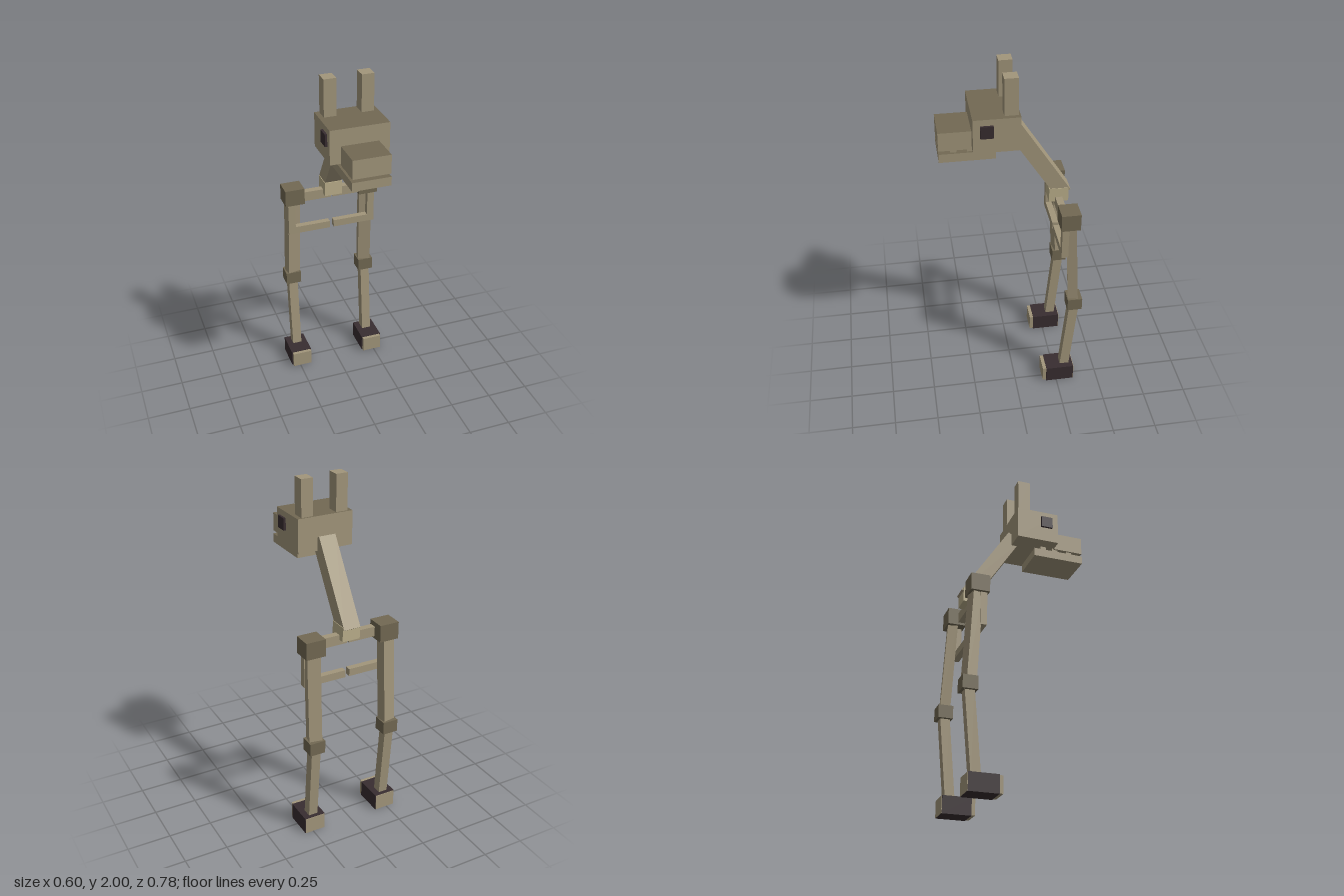
import * as THREE from 'three';

const paint = (name, color) => {
  const m = new THREE.MeshStandardMaterial({ color });
  m.name = name;
  return m;
};

export function createModel() {
  const tan = paint('tan', 0xa2967b);
  const brown = paint('dark tan', 0x726953);
  const pale = paint('pale tan', 0xbcb08c);
  const black = paint('near black', 0x382d30);
  const darkTop = [tan, tan, brown, tan, tan, tan];

  const model = new THREE.Group();
  model.name = 'walker';

  // Box given by its ranges along x, y and z
  const box = (parent, name, mat, [x0, x1], [y0, y1], [z0, z1]) => {
    const mesh = new THREE.Mesh(new THREE.BoxGeometry(x1 - x0, y1 - y0, z1 - z0), mat);
    mesh.position.set((x0 + x1) / 2, (y0 + y1) / 2, (z0 + z1) / 2);
    mesh.name = name;
    parent.add(mesh);
    return mesh;
  };

  // Beam from one point to another, twisted about its own length
  const beam = (parent, name, mat, from, to, width, depth, twist = 0) => {
    const a = new THREE.Vector3(...from), b = new THREE.Vector3(...to);
    const dir = b.clone().sub(a);
    const geo = new THREE.BoxGeometry(width, dir.length(), depth).rotateY(twist);
    const mesh = new THREE.Mesh(geo, mat);
    mesh.position.copy(a).add(b).multiplyScalar(0.5);
    mesh.quaternion.setFromUnitVectors(new THREE.Vector3(0, 1, 0), dir.normalize());
    mesh.name = name;
    parent.add(mesh);
    return mesh;
  };

  // Mirrored x range
  const mx = (s, a, b) => (s > 0 ? [a, b] : [-b, -a]);

  // Head
  const head = new THREE.Group();
  head.name = 'head';
  model.add(head);
  box(head, 'skull', darkTop, [-0.166, 0.166], [1.595, 1.79], [-0.04, 0.213]);
  box(head, 'snout', darkTop, [-0.105, 0.105], [1.588, 1.695], [0.213, 0.39]);
  box(head, 'jaw', darkTop, [-0.108, 0.108], [1.52, 1.57], [0.085, 0.39]);

  // Neck and the block it stands on
  beam(model, 'neck', tan, [0, 1.218, -0.303], [0, 1.657, -0.021], 0.1, 0.09);
  box(model, 'neckBase', pale, [-0.053, 0.053], [1.17, 1.255], [-0.33, -0.22]);

  for (const s of [1, -1]) {
    const side = s > 0 ? 'left' : 'right';

    // Ears, eyes and teeth
    box(head, side + 'Ear', tan, mx(s, 0.07, 0.14), [1.79, 2], [-0.03, 0.045]);
    box(head, side + 'Eye', black, mx(s, 0.16, 0.179), [1.685, 1.755], [0.105, 0.175]);
    for (const z of [0.31, 0.22, 0.145]) {
      box(head, side + 'Tooth', tan, mx(s, 0.06, 0.095), [1.56, 1.605], [z - 0.017, z + 0.017]);
    }

    // Hip bar, hip and the thin arm in front of the thigh
    box(model, side + 'HipBar', tan, mx(s, 0.006, 0.18), [1.14, 1.198], [-0.295, -0.255]);
    box(model, side + 'Hip', brown, mx(s, 0.169, 0.285), [1.126, 1.226], [-0.355, -0.247]);
    box(model, side + 'UpperArm', tan, mx(s, 0.226, 0.268), [0.93, 1.13], [-0.295, -0.257]);
    box(model, side + 'Forearm', tan, mx(s, 0.012, 0.26), [0.93, 0.973], [-0.294, -0.258]);

    // Leg
    const leg = new THREE.Group();
    leg.name = side + 'Leg';
    model.add(leg);
    beam(leg, 'thigh', tan, [s * 0.234, 0.585, -0.343], [s * 0.228, 1.17, -0.311], 0.075, 0.058, s * -0.18);
    box(leg, 'knee', brown, mx(s, 0.19, 0.282), [0.546, 0.622], [-0.388, -0.303]);
    beam(leg, 'shin', tan, [s * 0.237, 0.07, -0.3], [s * 0.237, 0.585, -0.347], 0.055, 0.055);

    // Foot with a pale toe and heel
    box(leg, 'foot', black, mx(s, 0.174, 0.3), [0, 0.1], [-0.353, -0.187]);
    box(leg, 'toe', tan, mx(s, 0.178, 0.294), [0.003, 0.097], [-0.187, -0.166]);
    box(leg, 'heel', tan, mx(s, 0.176, 0.298), [0.002, 0.098], [-0.356, -0.352]);
  }
  return model;
}
